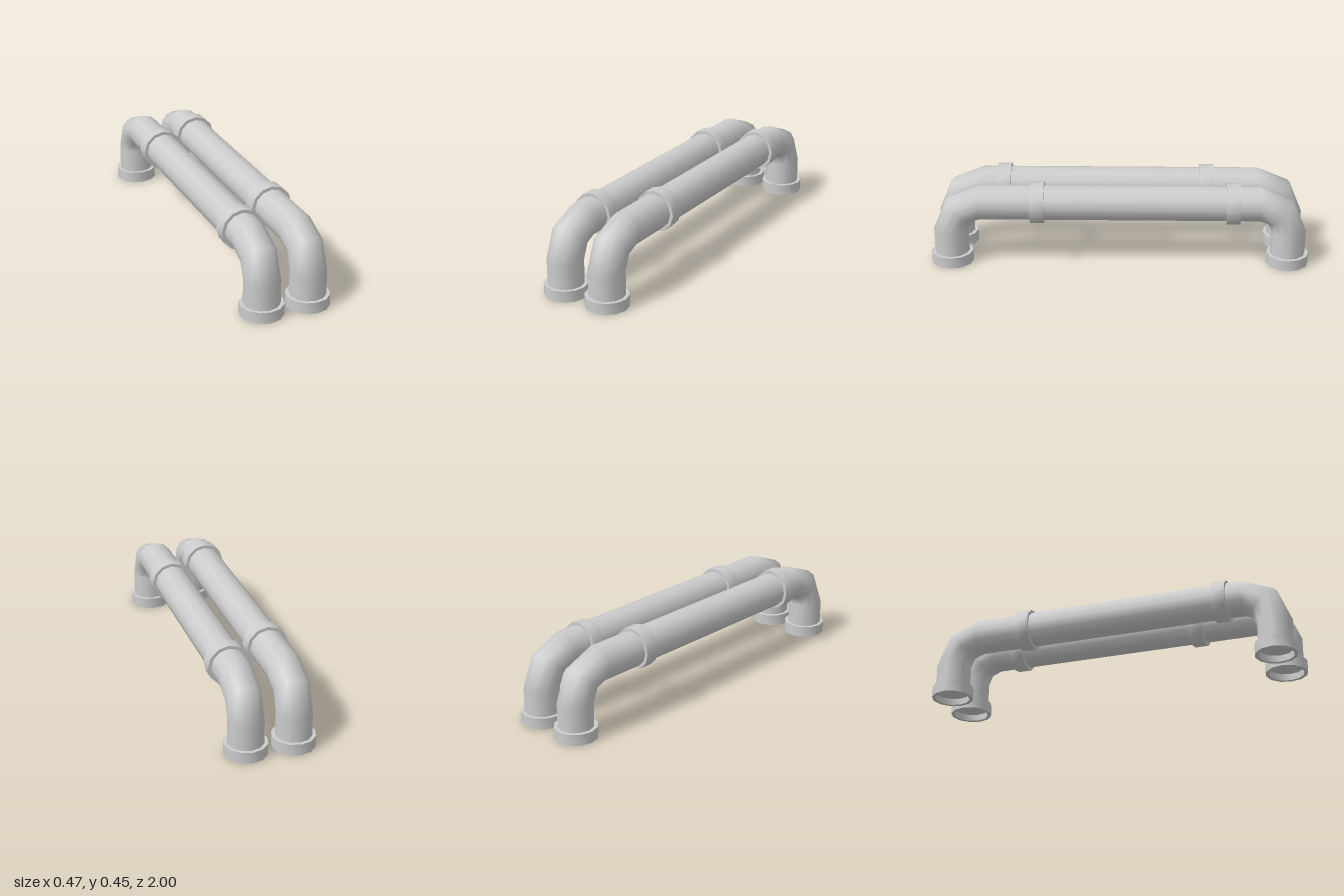
import * as THREE from 'three';
import { toCreasedNormals } from 'three/addons/utils/BufferGeometryUtils.js';

const SIDES = 12;
const PIPE_R = 0.092;   // pipe radius
const LEG_Z = 0.89;     // distance of the legs from the middle
const AXIS_Y = 0.34;    // height of the horizontal run
const BEND_R = 0.155;   // centreline radius of the elbows
const FOOT_Y = 0.035;   // where the pipe ends inside its foot collar

// Pipe swept through two elbows, each made of two segments
function pipeGeometry() {
  const rings = [[LEG_Z, FOOT_Y, 0]];
  for (const [side, start] of [[1, 0], [-1, 2]]) {
    for (let k = start; k <= start + 2; k++) {
      const th = k * Math.PI / 4;
      rings.push([
        side * (LEG_Z - BEND_R) + BEND_R * Math.cos(th),
        AXIS_Y - BEND_R + BEND_R * Math.sin(th),
        th,
      ]);
    }
  }
  rings.push([-LEG_Z, FOOT_Y, Math.PI]);

  const positions = [], normals = [], index = [];
  rings.forEach(([z, y, th], i) => {
    for (let j = 0; j < SIDES; j++) {
      const a = j / SIDES * Math.PI * 2;
      const n = [Math.cos(a), Math.sin(a) * Math.sin(th), Math.sin(a) * Math.cos(th)];
      normals.push(...n);
      positions.push(n[0] * PIPE_R, y + n[1] * PIPE_R, z + n[2] * PIPE_R);
      if (i < rings.length - 1) {
        const p = i * SIDES + j, q = i * SIDES + (j + 1) % SIDES;
        index.push(p, p + SIDES, q, q, p + SIDES, q + SIDES);
      }
    }
  });
  const geo = new THREE.BufferGeometry();
  geo.setAttribute('position', new THREE.Float32BufferAttribute(positions, 3));
  geo.setAttribute('normal', new THREE.Float32BufferAttribute(normals, 3));
  geo.setIndex(index);
  return geo;
}

// Square-edged ring around the y axis, standing on y = 0
function collarGeometry(radius, height) {
  const profile = [
    [PIPE_R, 0], [radius, 0], [radius, height], [PIPE_R, height], [PIPE_R, 0],
  ].map(([x, y]) => new THREE.Vector2(x, y));
  return toCreasedNormals(new THREE.LatheGeometry(profile, SIDES), 0.8);
}

export function createModel() {
  const model = new THREE.Group();
  model.name = 'pipes';
  const grey = new THREE.MeshStandardMaterial({ color: 0xcccccc });
  grey.name = 'lightGrey';

  const pipeGeo = pipeGeometry();
  const footGeo = collarGeometry(0.111, 0.06);
  const jointGeo = collarGeometry(0.109, 0.073).translate(0, -0.0365, 0).rotateX(Math.PI / 2);
  const capGeo = new THREE.CircleGeometry(PIPE_R, SIDES).rotateX(Math.PI / 2);

  const add = (group, geo, name, y = 0, z = 0) => {
    const mesh = new THREE.Mesh(geo, grey);
    mesh.name = name;
    mesh.position.set(0, y, z);
    group.add(mesh);
  };

  // Two parallel pipes with staggered joint collars
  for (const [name, x, joints] of [
    ['leftPipe', 0.123, [0.43, -0.594]],
    ['rightPipe', -0.123, [0.62, -0.461]],
  ]) {
    const pipe = new THREE.Group();
    pipe.name = name;
    pipe.position.x = x;
    add(pipe, pipeGeo, 'tube');
    for (const z of joints) add(pipe, jointGeo, 'jointCollar', AXIS_Y, z);
    for (const z of [LEG_Z, -LEG_Z]) {
      add(pipe, footGeo, 'footCollar', 0, z);
      add(pipe, capGeo, 'endCap', FOOT_Y, z);
    }
    model.add(pipe);
  }
  return model;
}
